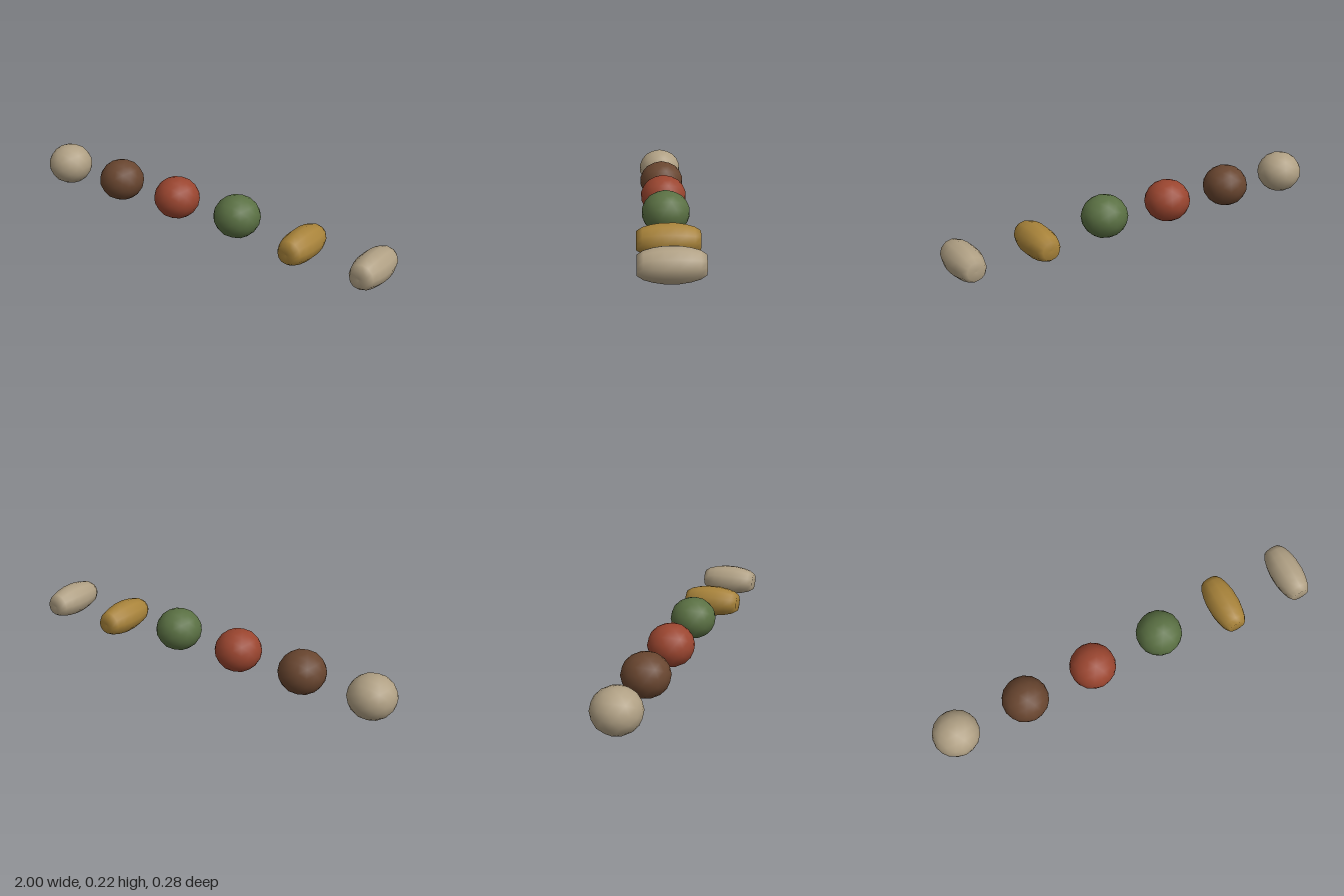
import * as THREE from 'three';

const paint = (name, color) => new THREE.MeshStandardMaterial({ name, color });

// Faceted-outline ball with smooth shading, a little flattened
function ballGeometry() {
  const g = new THREE.IcosahedronGeometry(1, 2);
  g.scale(0.113, 0.104, 0.113);
  return g;
}

// Long barrel-shaped pod lying along z, with blunt, slightly dimpled ends
function podGeometry() {
  const half = [[0.078, 0.03], [0.071, 0.075], [0.06, 0.113], [0.043, 0.139], [0, 0.135]];
  const profile = [
    ...half.map(([r, z]) => [r, -z]).reverse(),
    ...half,
  ].map(([r, z]) => new THREE.Vector2(r, z));
  const g = new THREE.LatheGeometry(profile, 12);
  g.rotateX(Math.PI / 2);
  return g;
}

export function createModel() {
  const tan = paint('tan', 0xb0a084);
  const brown = paint('brown', 0x68452f);
  const red = paint('red', 0x9a452f);
  const green = paint('green', 0x5a7043);
  const gold = paint('gold', 0xa8833a);

  const ball = ballGeometry();
  const pod = podGeometry();
  const model = new THREE.Group();
  model.name = 'ballRow';

  // Four balls and two pods in a row
  const parts = [
    ['tanBall', ball, tan, -0.888, 0.116],
    ['brownBall', ball, brown, -0.527, 0.117],
    ['redBall', ball, red, -0.168, 0.115],
    ['greenBall', ball, green, 0.194, 0.117],
    ['goldPod', pod, gold, 0.557, 0.081],
    ['tanPod', pod, tan, 0.921, 0.08],
  ];
  for (const [name, geometry, material, x, y] of parts) {
    const mesh = new THREE.Mesh(geometry, material);
    mesh.name = name;
    mesh.position.set(x, y, 0);
    model.add(mesh);
  }
  return model;
}
